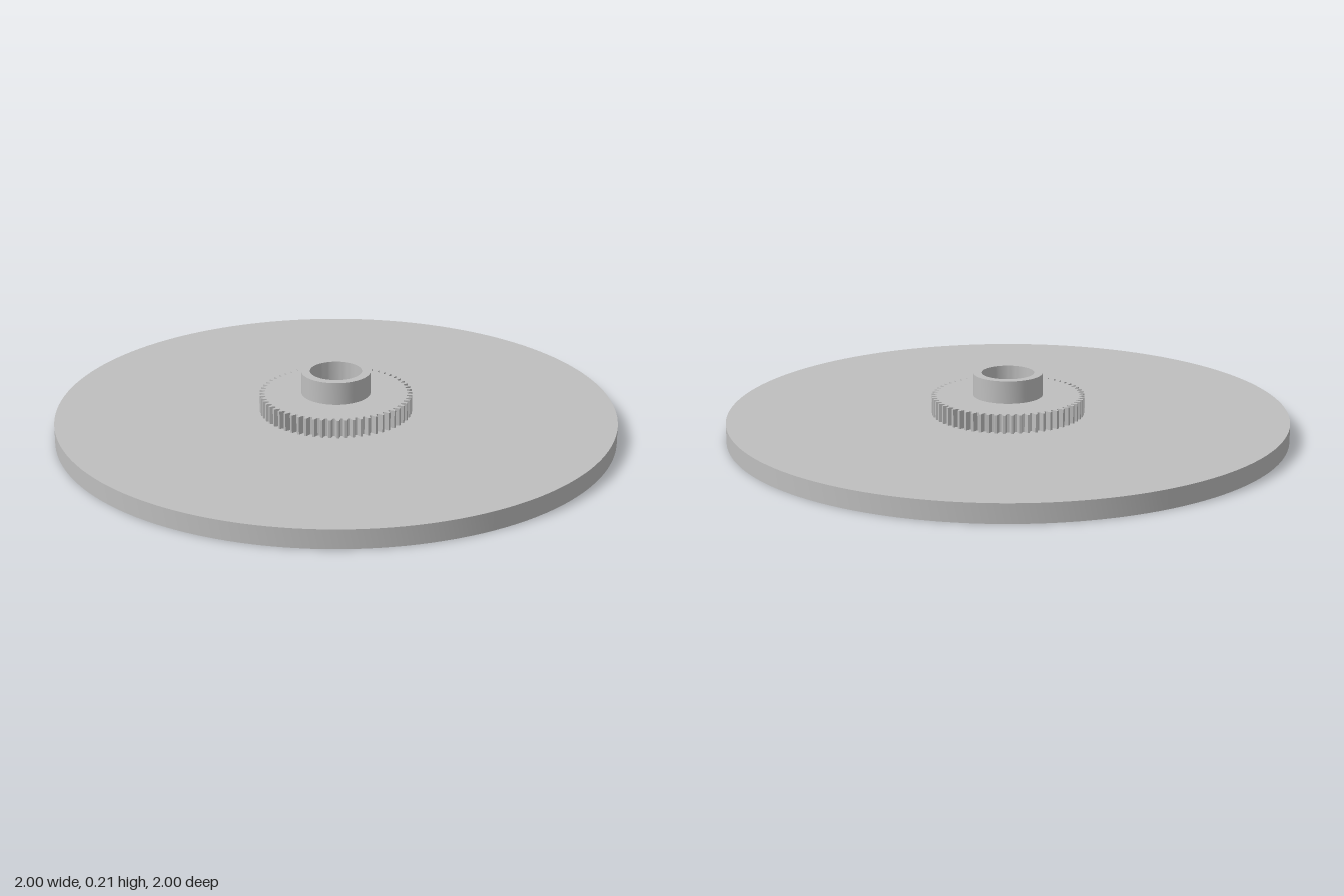
import * as THREE from 'three';
import { toCreasedNormals } from 'three/addons/utils/BufferGeometryUtils.js';

const DISC_TOP = 0.067, GEAR_TOP = 0.132, HUB_TOP = 0.213;
const HOLES = 36, HOLE_RING = 0.873, HOLE_R = 0.038, HOLE_DEPTH = 0.034;
const TEETH = 60, SEGMENTS = 144;

export function createModel() {
  const model = new THREE.Group();
  const steel = new THREE.MeshStandardMaterial({ color: 0xbfbfbf });
  steel.name = 'grey metal';

  const add = (name, geometry, parent = model) => {
    const mesh = new THREE.Mesh(geometry, steel);
    mesh.name = name;
    parent.add(mesh);
    return mesh;
  };
  // Turned part with crisp edges
  const turned = (points, segments) => toCreasedNormals(
    new THREE.LatheGeometry(points.map(([r, y]) => new THREE.Vector2(r, y)), segments), 0.6);

  // Disc rim and top face
  add('disc', turned([[1, 0], [1, DISC_TOP], [0, DISC_TOP]], SEGMENTS));

  // Underside with a ring of blind holes
  const face = new THREE.Shape().absarc(0, 0, 1, 0, Math.PI * 2);
  const pockets = new THREE.Group();
  pockets.name = 'blindHoles';
  model.add(pockets);
  const pocketGeometry = turned([[0, HOLE_DEPTH], [HOLE_R, HOLE_DEPTH], [HOLE_R, 0]], 24);
  for (let i = 0; i < HOLES; i++) {
    const a = (i / HOLES) * Math.PI * 2;
    const x = Math.cos(a) * HOLE_RING, z = Math.sin(a) * HOLE_RING;
    face.holes.push(new THREE.Path().absarc(x, z, HOLE_R, 0, Math.PI * 2, true));
    add('blindHole', pocketGeometry, pockets).position.set(x, 0, z);
  }
  add('underside', new THREE.ShapeGeometry(face, SEGMENTS / 2).rotateX(Math.PI / 2));

  // Toothed gear ring
  const outline = [];
  const pitch = (Math.PI * 2) / TEETH;
  for (let i = 0; i < TEETH; i++) {
    for (const [t, r] of [[-0.36, 0.255], [-0.14, 0.274], [0.14, 0.274], [0.36, 0.255]]) {
      const a = (i + t) * pitch;
      outline.push(new THREE.Vector2(Math.cos(a) * r, Math.sin(a) * r));
    }
  }
  const gear = new THREE.Shape(outline);
  gear.holes.push(new THREE.Path().absarc(0, 0, 0.11, 0, Math.PI * 2, true));
  add('gear', new THREE.ExtrudeGeometry(gear, {
    depth: GEAR_TOP - DISC_TOP, bevelEnabled: false, curveSegments: 32,
  }).rotateX(-Math.PI / 2).translate(0, DISC_TOP, 0));

  // Hub with a stepped bore
  add('hub', turned([
    [0.125, DISC_TOP], [0.125, HUB_TOP], [0.094, HUB_TOP],
    [0.094, 0.1], [0.071, 0.1], [0.071, DISC_TOP],
  ], 64));

  return model;
}
